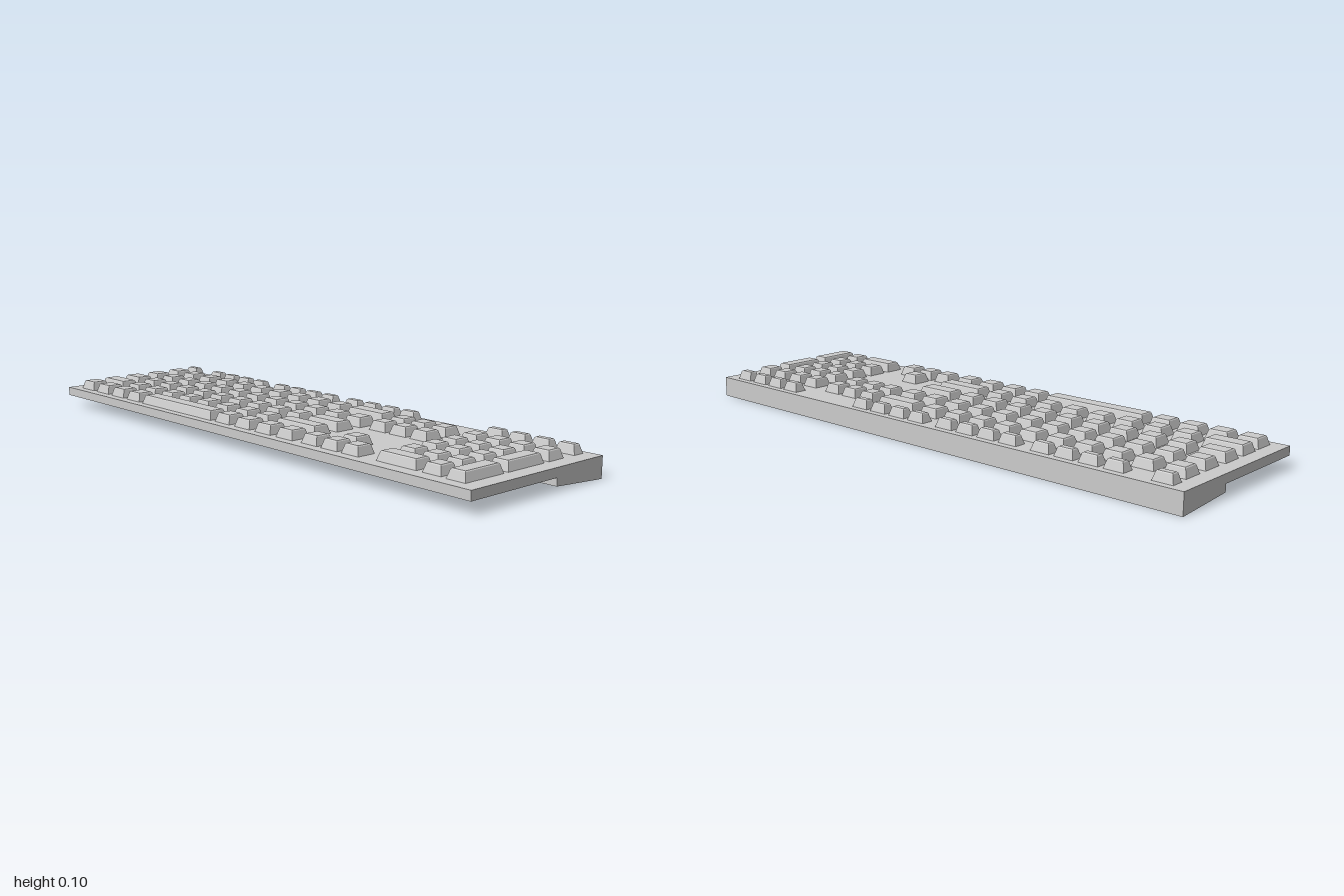
import * as THREE from 'three';

const DECK = 0.07, TOP = 0.1;

export function createModel() {
  const group = new THREE.Group();
  group.name = 'keyboard';
  const material = new THREE.MeshStandardMaterial({ color: 0xcccccc, flatShading: true });

  // Case: side profile (z, y) with a deeper sloping rear, extruded across the width
  const profile = new THREE.Shape([
    [0.29, 0.04], [0.29, DECK], [-0.29, DECK], [-0.29, 0], [-0.075, 0.015], [-0.075, 0.04],
  ].map(([z, y]) => new THREE.Vector2(-z, y)));
  const caseGeometry = new THREE.ExtrudeGeometry(profile, { depth: 2, bevelEnabled: false });
  caseGeometry.translate(0, 0, -1).rotateY(Math.PI / 2);
  const body = new THREE.Mesh(caseGeometry, material);
  body.name = 'case';
  group.add(body);

  // Keycap: box tapering upward, with a small chamfer round the top
  function addKey(parent, x, z, w, d) {
    const geometry = new THREE.BoxGeometry(w, 2, d, 1, 2, 1);
    const p = geometry.attributes.position;
    const levels = [[0, DECK], [0.008, TOP - 0.003], [0.011, TOP]];
    for (let i = 0; i < p.count; i++) {
      const [inset, y] = levels[Math.round(p.getY(i)) + 1];
      p.setXYZ(i, p.getX(i) - Math.sign(p.getX(i)) * inset, y,
        p.getZ(i) - Math.sign(p.getZ(i)) * inset);
    }
    geometry.computeVertexNormals();
    const key = new THREE.Mesh(geometry, material);
    key.name = 'key';
    key.position.set(x, 0, z);
    parent.add(key);
  }
  const section = (name) => {
    const g = new THREE.Group();
    g.name = name;
    group.add(g);
    return g;
  };
  // Run of equal keys between the first and last centre
  function addRun(parent, first, last, count, z, w, d) {
    for (let i = 0; i < count; i++) {
      addKey(parent, first + (last - first) * i / (count - 1), z, w, d);
    }
  }
  // Single key given by its left and right edges
  const addWide = (parent, x0, x1, z, d) => addKey(parent, (x0 + x1) / 2, z, x1 - x0, d);

  // Rear row: one key, then four groups of four
  const rearRow = section('rearRowKeys');
  addKey(rearRow, -0.917, -0.246, 0.07, 0.042);
  for (const x of [-0.757, -0.369, 0.019, 0.65]) {
    addRun(rearRow, x, x + 0.263, 4, -0.246, 0.07, 0.042);
  }

  // Main block, from the back row to the front row
  const mainKeys = section('mainKeys');
  const W = 0.076, D = 0.07;
  addRun(mainKeys, -0.91, 0.03, 10, -0.163, W, D);
  addWide(mainKeys, 0.1, 0.268, -0.163, D);

  addRun(mainKeys, -0.91, 0.23, 12, -0.063, W, D);

  addWide(mainKeys, -0.952, -0.852, 0.037, D);
  addRun(mainKeys, -0.786, 0.051, 9, 0.037, W, D);
  addWide(mainKeys, 0.12, 0.268, 0.037, D);

  addWide(mainKeys, -0.952, -0.812, 0.134, D);
  addRun(mainKeys, -0.743, 0.007, 8, 0.134, W, D);
  addWide(mainKeys, 0.078, 0.268, 0.134, D);

  addRun(mainKeys, -0.91, -0.604, 4, 0.225, 0.08, D);
  addWide(mainKeys, -0.54, -0.14, 0.227, D);
  addRun(mainKeys, -0.08, 0.23, 4, 0.225, W, D);

  // Navigation block and arrows
  const navigationKeys = section('navigationKeys');
  for (const z of [-0.153, -0.067, 0.222]) addRun(navigationKeys, 0.34, 0.516, 3, z, 0.07, 0.068);
  addKey(navigationKeys, 0.428, 0.142, 0.07, 0.068);

  // Number pad with two tall keys and one wide key
  const numberPad = section('numberPad');
  addRun(numberPad, 0.648, 0.912, 4, -0.143, 0.068, 0.068);
  for (const z of [-0.051, 0.035, 0.125]) addRun(numberPad, 0.648, 0.824, 3, z, 0.068, 0.068);
  addWide(numberPad, 0.614, 0.768, 0.212, 0.068);
  addKey(numberPad, 0.824, 0.212, 0.068, 0.068);
  for (const z of [-0.007, 0.17]) addKey(numberPad, 0.912, z, 0.068, 0.158);

  return group;
}
